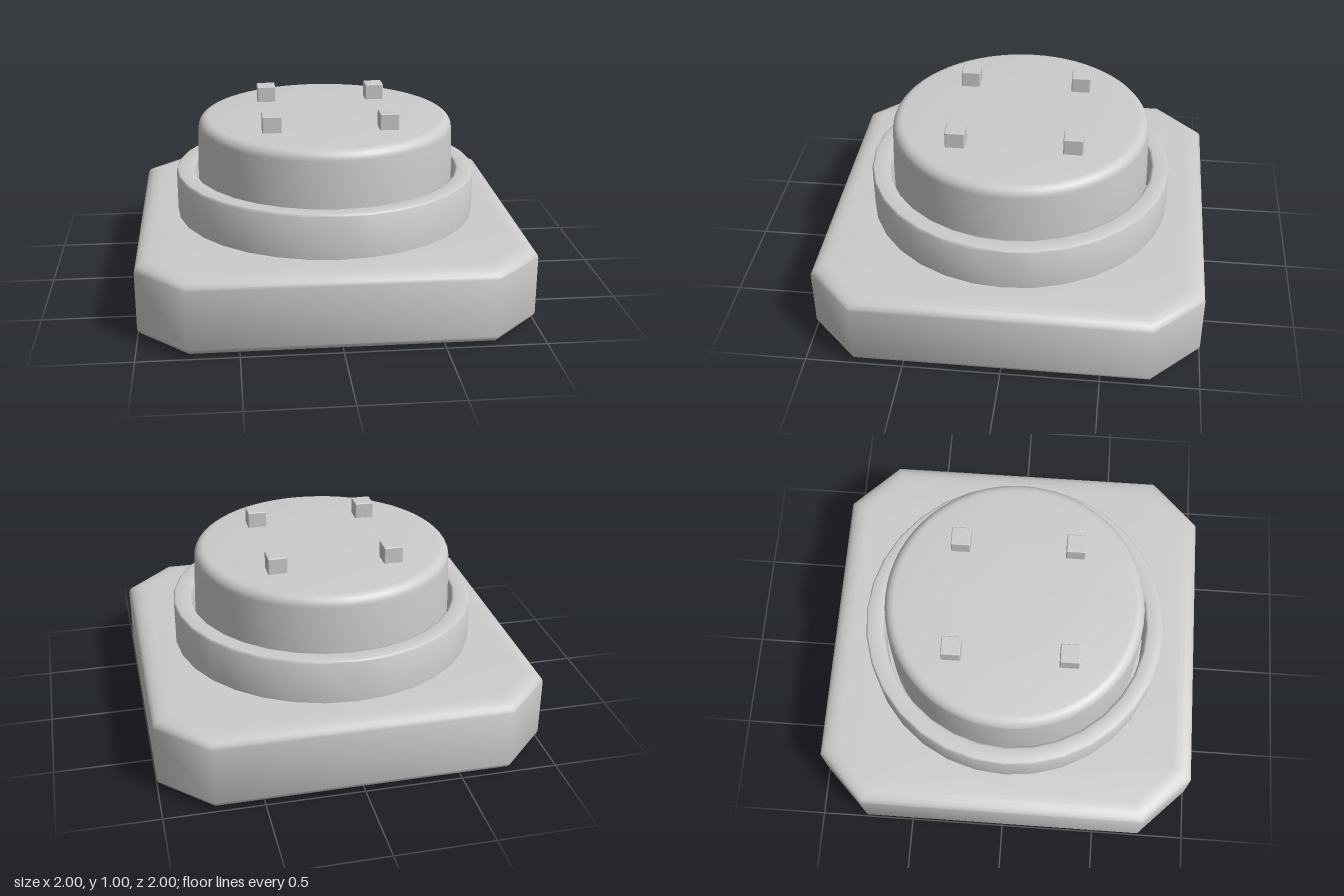
import * as THREE from 'three';
import { toCreasedNormals } from 'three/addons/utils/BufferGeometryUtils.js';
import { RoundedBoxGeometry } from 'three/addons/geometries/RoundedBoxGeometry.js';

export function createModel() {
  const model = new THREE.Group();
  const material = new THREE.MeshStandardMaterial({ color: 0xcccccc });

  function add(name, geometry, x = 0, y = 0, z = 0) {
    const mesh = new THREE.Mesh(geometry, material);
    mesh.name = name;
    mesh.position.set(x, y, z);
    model.add(mesh);
  }

  const lathe = (profile, segments) => toCreasedNormals(
    new THREE.LatheGeometry(profile.map(([r, y]) => new THREE.Vector2(r, y)), segments), 0.9);

  // Square base plate with cut corners and softly rounded edges
  const bevel = 0.1, lip = 0.05;
  const a = 1 - bevel, c = 1.75 - bevel * Math.SQRT2 - a;
  const outline = new THREE.Shape([
    [a, -c], [a, c], [c, a], [-c, a], [-a, c], [-a, -c], [-c, -a], [c, -a],
  ].map(([x, y]) => new THREE.Vector2(x, y)));
  const base = new THREE.ExtrudeGeometry(outline, {
    depth: 0.4 - 2 * lip, bevelSize: bevel, bevelThickness: lip, bevelSegments: 5,
  });
  base.rotateX(-Math.PI / 2).translate(0, lip, 0);
  add('basePlate', toCreasedNormals(base, 1));

  // Open collar around the button
  add('collar', lathe([
    [0.8, 0.39], [0.8, 0.622], [0.797, 0.629], [0.79, 0.632],
    [0.72, 0.632], [0.71, 0.629], [0.705, 0.62], [0.705, 0.39],
  ], 32));

  // Round button with a filleted rim
  const button = [[0.685, 0.39], [0.683, 0.63], [0.675, 0.86]];
  for (let i = 1; i <= 6; i++) {
    const t = (i / 6) * Math.PI / 2;
    button.push([0.62 + 0.055 * Math.cos(t), 0.86 + 0.053 * Math.sin(t)]);
  }
  button.push([0.3, 0.916], [0, 0.917]);
  add('button', lathe(button, 64));

  // Four small square pegs on top
  for (const x of [-0.3, 0.3])
    for (const z of [-0.3, 0.3])
      add('peg', new RoundedBoxGeometry(0.1, 0.1, 0.1, 2, 0.006), x, 0.95, z);

  return model;
}
